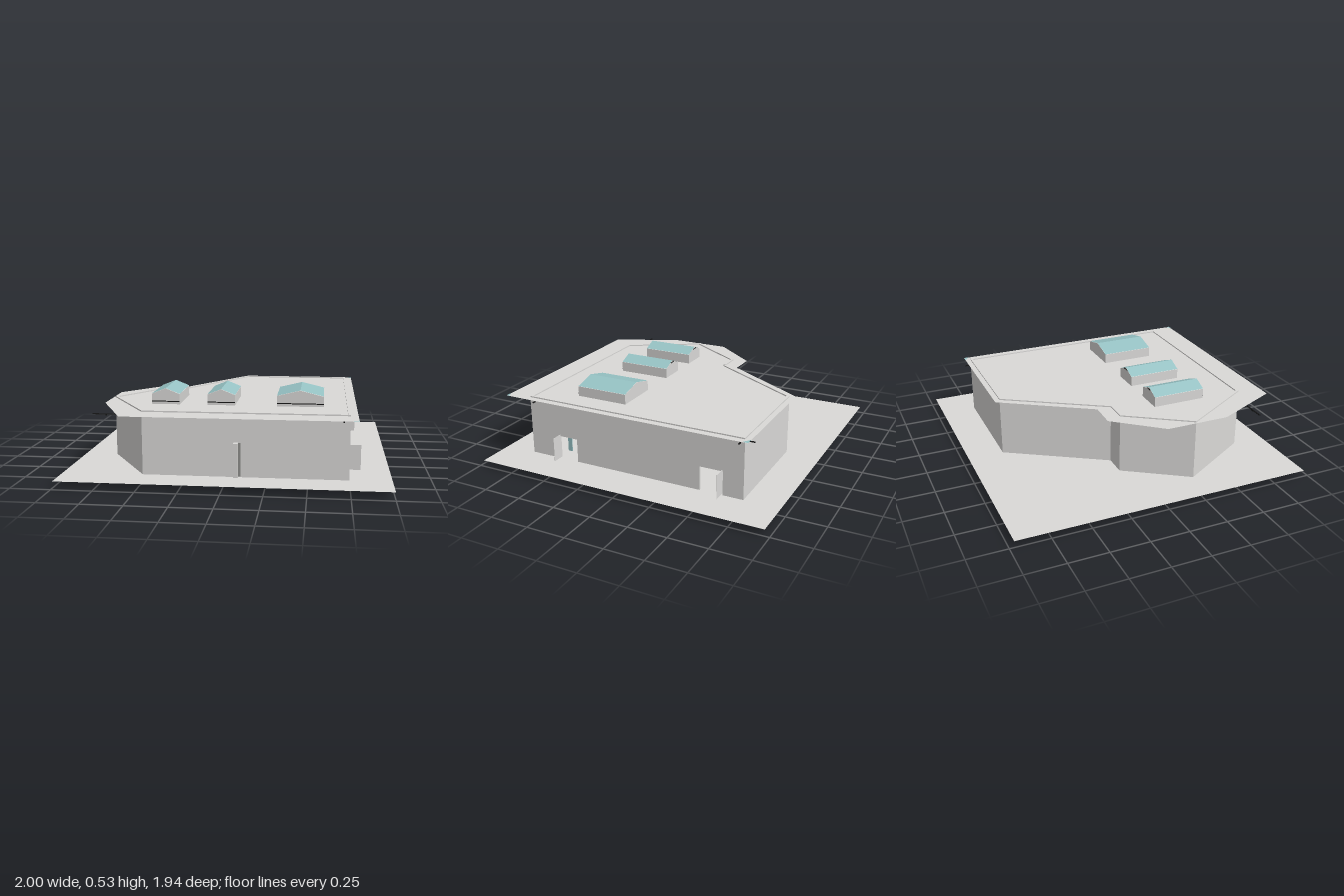
import * as THREE from 'three';

const mat = (name, color, side = THREE.FrontSide) => {
  const m = new THREE.MeshStandardMaterial({ color, side });
  m.name = name;
  return m;
};

export function createModel() {
  const group = new THREE.Group();
  const grey = mat('concrete grey', 0xdad9d7, THREE.DoubleSide);
  const shade = mat('reveal grey', 0x8f8f8d);
  const teal = mat('glass teal', 0x97c3c5, THREE.DoubleSide);
  const black = mat('black trim', 0x151515);

  const add = (name, geometry, material) => {
    const m = new THREE.Mesh(geometry, material);
    m.name = name;
    group.add(m);
    return m;
  };
  // Box given by its minimum and maximum corners
  const box = (name, a, b, material) => {
    const m = add(name, new THREE.BoxGeometry(b[0] - a[0], b[1] - a[1], b[2] - a[2]), material);
    m.position.set((a[0] + b[0]) / 2, (a[1] + b[1]) / 2, (a[2] + b[2]) / 2);
  };
  const shapeOf = pts => new THREE.Shape(pts.map(p => new THREE.Vector2(...p)));
  // Horizontal sheet from [x, z] pairs
  const sheet = (name, pts, y, material) => {
    const g = new THREE.ShapeGeometry(shapeOf(pts.map(([x, z]) => [x, -z])));
    add(name, g.rotateX(-Math.PI / 2).translate(0, y, 0), material);
  };

  const groundY = 0.042, roofY = 0.43, wallTop = 0.438, wallThick = 0.016;
  const doorTop = 0.198;
  const outline = [[-0.503, 0.757], [0.745, 0.757], [0.745, -0.738], [-0.003, -0.738],
    [-0.388, -0.118], [-0.53, -0.118], [-0.789, 0.277]];
  const roof = [[-0.603, 0.912], [0.789, 0.912], [0.789, -0.773], [-0.025, -0.773],
    [-0.383, -0.208], [-0.558, -0.213], [-0.8, 0.08], [-0.8, 0.487]];
  const doors = [[0.412, 0.557], [-0.605, -0.453]]; // z ranges on the +x wall

  // Ground sheet, with the walls reaching through it, and overhanging roof sheet
  sheet('ground', [[-1, 0.97], [1, 0.97], [1, -0.97], [-1, -0.97]], groundY, grey);
  sheet('roof', roof, roofY, grey);
  sheet('roofCornerBack', [[0.789, -0.738], [0.789, -0.773], [0.742, -0.773]], roofY + 0.002, teal);
  sheet('roofCornerFront', [[0.748, 0.912], [0.789, 0.912], [0.789, 0.888]], roofY + 0.002, teal);

  // Thin wall along each edge; the +x wall is notched for its two doors
  outline.forEach(([x, z], i) => {
    const [x2, z2] = outline[(i + 1) % outline.length];
    const dx = x2 - x, dz = z2 - z, length = Math.hypot(dx, dz);
    const pts = [[0, 0]];
    if (i === 1) {
      for (const [z0, z1] of doors) {
        pts.push([z - z1, 0], [z - z1, doorTop], [z - z0, doorTop], [z - z0, 0]);
      }
    }
    pts.push([length, 0], [length, wallTop], [0, wallTop]);
    const g = new THREE.ExtrudeGeometry(shapeOf(pts), { depth: wallThick, bevelEnabled: false });
    const wall = add('wall', g.translate(0, 0, -wallThick), grey);
    wall.position.set(x, 0, z);
    wall.rotation.y = -Math.atan2(dz, dx);
  });
  box('baseTrim', [0.744, 0, -0.453], [0.748, 0.006, 0.412], black);

  // Open door leaves on the +x wall and a glass pane inside
  for (const z of [0.54, -0.6]) {
    box('doorLeaf', [0.735, 0.05, z - 0.001], [0.82, 0.208, z + 0.001], grey);
  }
  box('doorGlass', [0.7, 0.085, 0.48], [0.704, 0.195, 0.51], teal);

  // Narrow projecting door on the front, with its reveal
  box('frontDoor', [0.055, 0.045, 0.757], [0.083, 0.255, 0.789], grey);
  box('frontReveal', [0.083, 0.047, 0.755], [0.096, 0.253, 0.761], shade);

  // Skylights: grey gabled body, dark sill at the front, two glass slopes
  const z0 = 0.141, z1 = 0.489, sideY = 0.495, ridgeY = 0.53;
  [[-0.495, -0.318], [-0.142, 0.033], [0.295, 0.586]].forEach(([x0, x1], i) => {
    const mid = (x0 + x1) / 2;
    const body = shapeOf([[x0, roofY], [x1, roofY], [x1, sideY], [mid, ridgeY], [x0, sideY]]);
    const g = new THREE.ExtrudeGeometry(body, { depth: z1 - z0, bevelEnabled: false });
    add('skylightBody', g.translate(0, 0, z0), grey);
    box('skylightSill', [x0, 0.445, z1 - 0.002], [x1, 0.451, z1 + 0.001], black);
    if (i < 2) {
      box('skylightVent', [mid - 0.022, ridgeY - 0.012, z0 - 0.004], [mid + 0.022, ridgeY - 0.008, z0], black);
    }
    const half = mid - x0, rise = ridgeY - sideY;
    for (const s of [-1, 1]) {
      const pane = new THREE.PlaneGeometry(Math.hypot(half, rise), z1 - z0).rotateX(-Math.PI / 2);
      const glass = add('skylightGlass', pane, teal);
      glass.position.set(mid + s * half / 2, (sideY + ridgeY) / 2 + 0.002, (z0 + z1) / 2);
      glass.rotation.z = -s * Math.atan2(rise, half);
    }
  });

  // Long rod through the left corner, with small lamps hanging from it
  box('rod', [-0.815, 0.402, 0.716], [-0.52, 0.407, 0.724], black);
  for (const x of [-0.73, -0.645, -0.573]) {
    box('rodLamp', [x - 0.004, 0.395, 0.716], [x + 0.004, 0.402, 0.724], black);
  }
  // Short brackets under the overhang at the other corners
  for (const z of [0.72, -0.71]) {
    box('sideBracket', [0.745, 0.402, z - 0.004], [0.77, 0.407, z + 0.004], black);
  }
  box('frontBracket', [0.7, 0.402, 0.757], [0.708, 0.407, 0.82], black);
  box('backBracket', [0.7, 0.402, -0.785], [0.708, 0.407, -0.738], black);
  return group;
}
